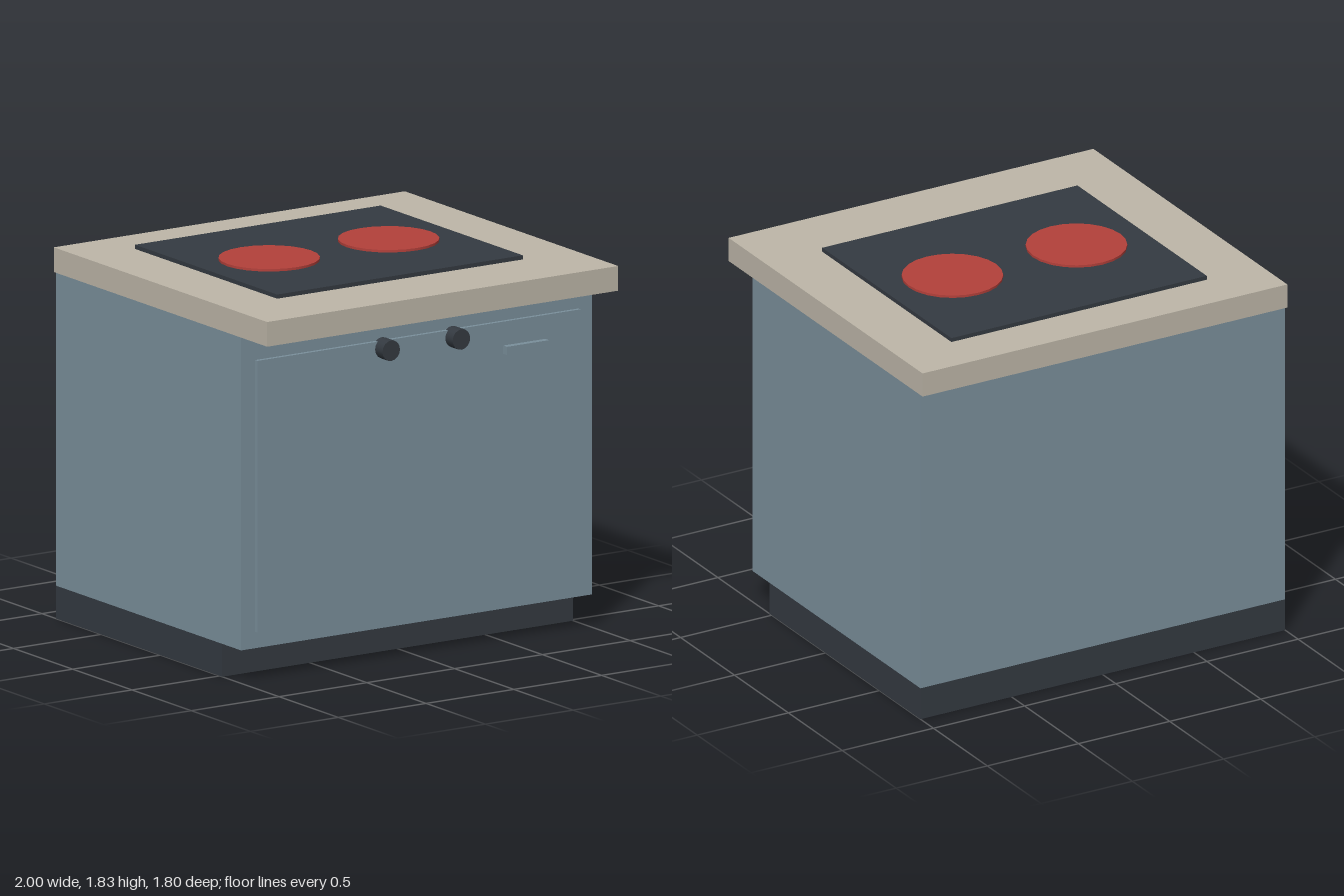
import * as THREE from 'three';

export function createModel() {
  const model = new THREE.Group();
  model.name = 'kitchenStove';

  const material = (name, color) => {
    const m = new THREE.MeshStandardMaterial({ color });
    m.name = name;
    return m;
  };
  const blue = material('cabinetBlue', 0x7a8f9b);
  const stone = material('worktopStone', 0xbdb6a8);
  const dark = material('charcoal', 0x343a41);
  const red = material('burnerRed', 0xb3403a);

  const add = (name, geometry, mat) => {
    const mesh = new THREE.Mesh(geometry, mat);
    mesh.name = name;
    model.add(mesh);
    return mesh;
  };

  // Box given by its extents along each axis
  const box = (name, mat, [x0, x1], [y0, y1], [z0, z1]) =>
    add(name, new THREE.BoxGeometry(x1 - x0, y1 - y0, z1 - z0), mat)
      .position.set((x0 + x1) / 2, (y0 + y1) / 2, (z0 + z1) / 2);

  // Cabinet on a recessed plinth, with an overhanging worktop
  box('plinth', dark, [-1, 1], [0, 0.16], [-0.88, 0.52]);
  box('cabinet', blue, [-1, 1], [0.16, 1.68], [-0.88, 0.68]);
  box('worktop', stone, [-1, 1], [1.68, 1.8], [-0.9, 0.9]);

  // Door panel and its handle
  box('door', blue, [-0.92, 0.92], [0.24, 1.56], [0.68, 0.7]);
  box('doorHandle', blue, [0.48, 0.72], [1.404, 1.444], [0.7, 0.732]);

  // Hob plate
  box('hob', dark, [-0.7, 0.7], [1.8, 1.82], [-0.66, 0.54]);

  // A burner and a control knob on each side
  for (const [side, label] of [[1, 'left'], [-1, 'right']]) {
    add(label + 'Burner', new THREE.CylinderGeometry(0.24, 0.24, 0.012, 24), red)
      .position.set(side * 0.34, 1.826, -0.06);

    const knob = add(label + 'Knob', new THREE.CylinderGeometry(0.05, 0.05, 0.08, 16), dark);
    knob.rotation.x = Math.PI / 2;
    knob.position.set(side * 0.2, 1.524, 0.722);
  }

  return model;
}
